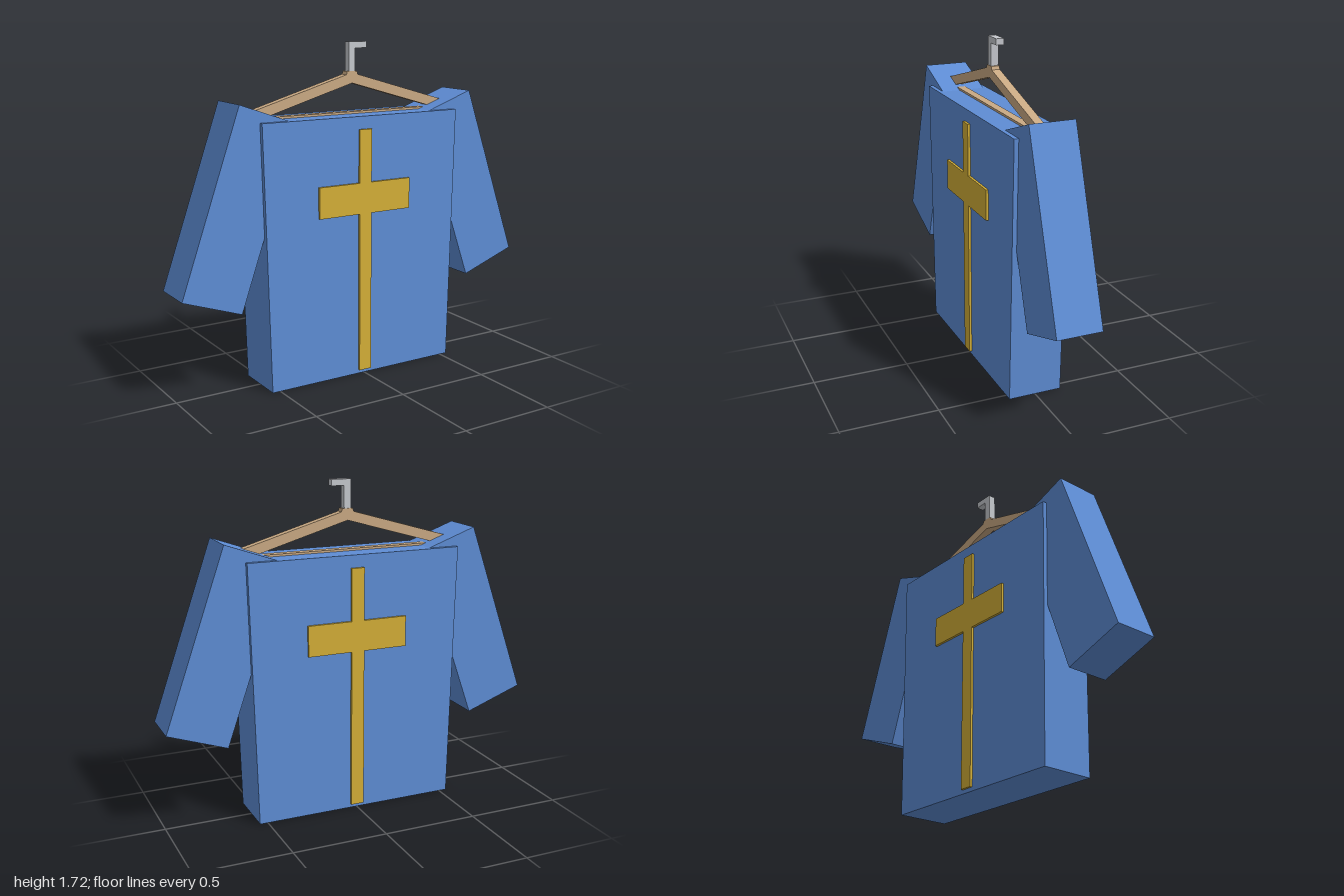
import * as THREE from 'three';

const mat = (name, color) => {
  const m = new THREE.MeshStandardMaterial({ color });
  m.name = name;
  return m;
};

// Closed outline extruded to z = z0..z1, with optional hole
function slab(name, material, points, z0, z1, hole) {
  const toVecs = (pts) => pts.map(([x, y]) => new THREE.Vector2(x, y));
  const shape = new THREE.Shape(toVecs(points));
  if (hole) shape.holes.push(new THREE.Path(toVecs(hole)));
  const geo = new THREE.ExtrudeGeometry(shape, { depth: z1 - z0, bevelEnabled: false });
  geo.translate(0, 0, z0);
  const mesh = new THREE.Mesh(geo, material);
  mesh.name = name;
  return mesh;
}

// Adds the mirrored half of an outline that is symmetric about x = 0
const mirrored = (half) => [...half, ...half.map(([x, y]) => [-x, y]).reverse()];

export function createModel() {
  const group = new THREE.Group();
  group.name = 'shirtOnHanger';
  const blue = mat('blue cloth', 0x5e8dd5);
  const gold = mat('gold trim', 0xd4af37);
  const wood = mat('hanger wood', 0xcaaa84);
  const metal = mat('hook metal', 0xc6c9ce);

  // Shirt body, slightly wider at the shoulders
  group.add(slab('shirtBody', blue, mirrored([[0.542, 0], [0.575, 1.357]]), -0.14, 0.14));

  // Slanted sleeves
  for (const s of [1, -1]) {
    const pts = [[0.68, 1.45], [0.37, 1.34], [0.69, 0.43], [1, 0.54]];
    group.add(slab(s > 0 ? 'leftSleeve' : 'rightSleeve', blue,
      pts.map(([x, y]) => [s * x, y]), -0.117, 0.117));
  }

  // Cross-shaped trim on the front and back
  const cross = mirrored([[0.035, 0.02], [0.035, 0.86], [0.27, 0.86],
    [0.27, 1.02], [0.035, 1.02], [0.035, 1.292]]);
  group.add(slab('frontCross', gold, cross, 0.144, 0.153));
  group.add(slab('backCross', gold, cross, -0.153, -0.144));
  group.add(slab('crossBacking', gold, cross, -0.144, 0.144));

  // Triangular hanger with a small collar at the peak
  group.add(slab('hanger', wood,
    mirrored([[0.54, 1.33], [0.558, 1.36], [0.558, 1.404], [0.034, 1.556], [0.028, 1.573]]),
    -0.022, 0.022,
    [[0, 1.513], [0.5, 1.368], [-0.5, 1.368]]));

  // Square hook
  group.add(slab('hook', metal, [[-0.018, 1.56], [0.018, 1.56], [0.018, 1.688],
    [0.086, 1.688], [0.086, 1.72], [-0.018, 1.72]], -0.02, 0.02));

  return group;
}
